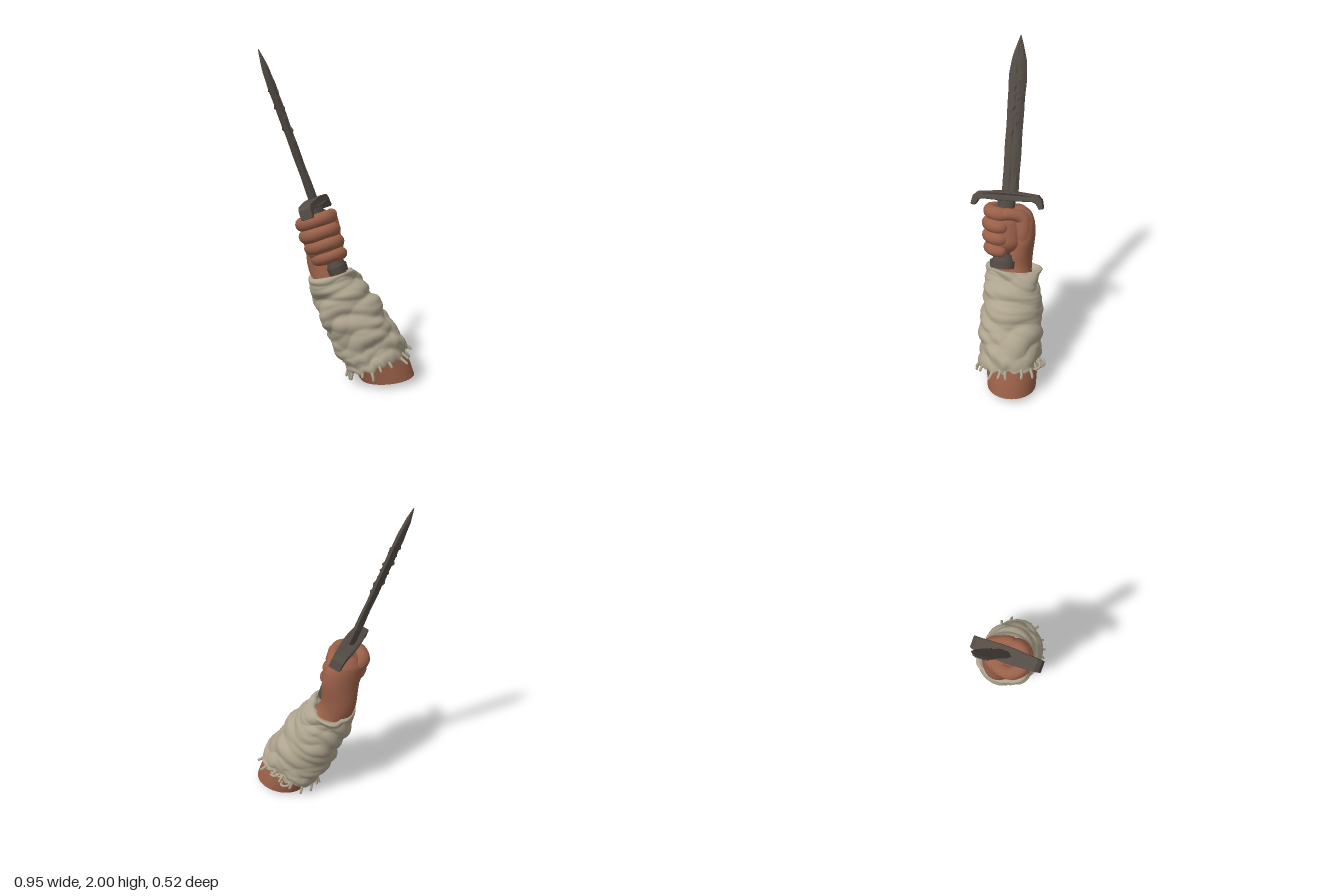
import * as THREE from 'three';
import { toCreasedNormals } from 'three/addons/utils/BufferGeometryUtils.js';

const V = (x, y, z) => new THREE.Vector3(x, y, z);
const curveOf = (pts) => new THREE.CatmullRomCurve3(pts.map((p) => V(...p)));

let seed = 7;
const rand = () => (seed = (seed * 16807) % 2147483647) / 2147483647;

// Closed-ring surface: fn(t, a, j) gives a point; end caps are optional
function loft(rows, cols, fn, capped = true) {
  const pos = [], idx = [];
  for (let i = 0; i <= rows; i++) {
    for (let j = 0; j < cols; j++) pos.push(...fn(i / rows, (j / cols) * Math.PI * 2, j).toArray());
  }
  for (let i = 0; i < rows; i++) {
    for (let j = 0; j < cols; j++) {
      const k = (j + 1) % cols, a = i * cols, b = a + cols;
      idx.push(a + j, a + k, b + k, a + j, b + k, b + j);
    }
  }
  if (capped) {
    for (const [row, flip] of [[0, true], [rows, false]]) {
      const c = V(0, 0, 0), n = pos.length / 3;
      for (let j = 0; j < cols; j++) c.add(fn(row / rows, (j / cols) * Math.PI * 2, j));
      pos.push(...c.divideScalar(cols).toArray());
      for (let j = 0; j < cols; j++) {
        const p = row * cols + j, q = row * cols + ((j + 1) % cols);
        if (flip) idx.push(n, q, p); else idx.push(n, p, q);
      }
    }
  }
  const g = new THREE.BufferGeometry();
  g.setAttribute('position', new THREE.Float32BufferAttribute(pos, 3));
  g.setIndex(idx);
  g.computeVertexNormals();
  return g;
}

// Round-ended tube with a radius that varies along its path
function limb(pts, radii, rows = 28, cols = 14) {
  const path = curveOf(pts), len = path.getLength();
  const rad = curveOf(radii.map((r, i) => [i, r, 0]));
  const { normals, binormals } = path.computeFrenetFrames(rows);
  return loft(rows, cols, (t, a) => {
    const r = rad.getPoint(t).y;
    const end = Math.min(1, (Math.min(t, 1 - t) * len) / r);
    const rr = r * Math.sqrt(Math.max(0.003, 1 - (1 - end) ** 2));
    const i = Math.round(t * rows);
    return path.getPointAt(t)
      .addScaledVector(normals[i], rr * Math.cos(a))
      .addScaledVector(binormals[i], rr * Math.sin(a));
  });
}

export function createModel() {
  const model = new THREE.Group();
  const mat = (name, color, side = THREE.FrontSide) => {
    const m = new THREE.MeshStandardMaterial({ color, side });
    m.name = name;
    return m;
  };
  const skin = mat('skin', 0x9a6048);
  const cloth = mat('linen', 0xaea48e, THREE.DoubleSide);
  const metal = mat('dark iron', 0x544c45);
  const add = (parent, name, geo, material) => {
    const m = new THREE.Mesh(geo, material);
    m.name = name;
    parent.add(m);
    return m;
  };

  // Forearm running into the palm: ring centres, then tilt and two radii
  const rings = [
    [0.297, 0.02, -0.05, 0.12, 0.167, 0.15], [0.26, 0.1, -0.045, 0.25, 0.17, 0.155],
    [0.2, 0.2, -0.03, 0.45, 0.165, 0.155], [0.05, 0.47, -0.02, 0.5, 0.13, 0.13],
    [-0.065, 0.64, -0.015, 0.4, 0.105, 0.1], [-0.095, 0.74, -0.025, 0.32, 0.11, 0.092],
    [-0.105, 0.84, -0.032, 0.28, 0.115, 0.088], [-0.12, 0.94, -0.025, 0.28, 0.118, 0.085],
    [-0.135, 1.0, -0.015, 0.28, 0.105, 0.075], [-0.14, 1.04, -0.005, 0.28, 0.06, 0.045],
  ];
  const centres = curveOf(rings.map((r) => r.slice(0, 3)));
  const sizes = curveOf(rings.map((r) => r.slice(3)));
  const arm = loft(54, 36, (t, a) => {
    const c = centres.getPoint(t), r = sizes.getPoint(t);
    const u = r.y * Math.cos(a), v = r.z * Math.sin(a);
    const yaw = 0.78 * THREE.MathUtils.smoothstep(t, 0.45, 0.75); // the hand turns at the wrist
    return V(c.x + u * Math.cos(r.x) * Math.cos(yaw) - v * Math.sin(yaw), c.y + u * Math.sin(r.x) * Math.cos(yaw),
      c.z - u * Math.sin(yaw) - v * Math.cos(yaw));
  });
  add(model, 'forearmAndPalm', toCreasedNormals(arm, 0.9), skin);

  // Thumb lying across the top of the fist
  add(model, 'thumb', limb(
    [[-0.065, 0.79, -0.05], [-0.06, 0.91, -0.06], [-0.068, 1.0, -0.055], [-0.048, 1.03, 0], [-0.033, 1.035, 0.075]],
    [0.05, 0.056, 0.05, 0.037, 0.04]), skin);

  // Frame of the sword: y runs along the blade, x across the grip
  const grip = new THREE.Group();
  grip.name = 'swordAndFingers';
  grip.position.set(0.01, 0.7, 0.055);
  grip.rotation.z = 0.361;
  model.add(grip);

  // Fingers curled round the handle, smallest first, over a solid fist
  const curl = [[-0.07, -0.08], [-0.098, -0.03], [-0.1, 0.05], [-0.04, 0.1], [0.035, 0.088], [0.068, 0.035], [0.05, -0.03]];
  ['little', 'ring', 'middle', 'index'].forEach((name, i) => {
    const k = [0.86, 0.96, 1, 0.95][i], r = [0.039, 0.042, 0.044, 0.044][i], y = 0.1 + i * 0.075;
    add(grip, name + 'Finger', limb(
      curl.map(([x, z], n) => [x * k, y + 0.012 * Math.sin(n * 0.6), z * k]),
      [0.95, 1, 1, 1.08, 0.94, 1, 0.9].map((f) => f * r), 36), skin);
  });
  add(grip, 'fist', new THREE.CapsuleGeometry(0.1, 0.12, 8, 24).scale(1.14, 0.88, 1.2).translate(-0.026, 0.218, 0), skin);

  // Handle, collar and stepped pommel
  const turned = (name, rt, rb, h, y, sz, sides = 20) =>
    add(grip, name, new THREE.CylinderGeometry(rt, rb, h, sides).scale(1, 1, sz).translate(0, y, 0), metal);
  turned('handle', 0.042, 0.042, 0.42, 0.22, 1.1);
  turned('collar', 0.046, 0.042, 0.05, 0.385, 1.25);
  turned('pommelNeck', 0.046, 0.054, 0.04, 0.055, 1.25);
  turned('pommel', 0.061, 0.057, 0.045, 0.012, 1.35, 12);

  // Crossguard with drooping ends, an outline mirrored and narrowed outwards
  const half = [[0.05, 0.022], [0.15, 0.014], [0.185, 0.01], [0.206, -0.01], [0.216, -0.055], [0.2, -0.058],
    [0.18, -0.026], [0.155, -0.015], [0.05, -0.018]];
  const outline = [...half, ...half.map(([x, y]) => [-x, y]).reverse()];
  const guard = new THREE.ExtrudeGeometry(new THREE.Shape(outline.map((p) => new THREE.Vector2(...p))),
    { depth: 0.09, bevelEnabled: true, bevelSize: 0.006, bevelThickness: 0.007, bevelSegments: 2 });
  guard.translate(0, 0, -0.045).rotateY(-Math.PI / 2);
  const gp = guard.attributes.position;
  for (let i = 0; i < gp.count; i++) gp.setX(i, gp.getX(i) * (1 - 1.3 * Math.abs(gp.getZ(i))));
  guard.computeVertexNormals();
  add(grip, 'crossguard', guard.translate(0, 0.432, -0.007), metal);

  // Worn blade with a central groove: height, half width, half thickness
  const taper = curveOf([[0.42, 0.05, 0.025], [0.62, 0.051, 0.022], [0.8, 0.051, 0.021], [0.98, 0.051, 0.022],
    [1.12, 0.054, 0.022], [1.21, 0.05, 0.021], [1.3, 0.031, 0.016], [1.39, 0.002, 0.003]]);
  const section = [[0, 1], [0.75, 0.62], [0.95, 0.22], [0.75, 0], [0.95, -0.22], [0.75, -0.62],
    [0, -1], [-0.75, -0.62], [-0.95, -0.22], [-0.75, 0], [-0.95, 0.22], [-0.75, 0.62]];
  const blade = loft(60, 12, (t, a, j) => {
    const p = taper.getPoint(t), [x, z] = section[j];
    const wear = 0.001 * Math.sin(t * 33 + j * 2.3) * Math.min(1, (1 - t) * 6);
    const pitted = t > 0.28 && t < 0.62 && Math.abs(z) < 0.5;
    const burr = pitted ? 0.05 * Math.max(0, Math.sin(t * 55 + j * 1.9) - 0.8) : 0;
    return V(x * (p.z + wear + burr), p.x, z * (p.y + wear) - 0.02 - 0.01 * t);
  });
  add(grip, 'blade', toCreasedNormals(blade, 0.6), metal);

  // Wrinkled sleeve: distance up the arm and two radii, turned in at both ends
  const profile = curveOf([[0.05, 0.15, 0.14], [-0.005, 0.187, 0.18], [0.08, 0.195, 0.188], [0.22, 0.185, 0.188],
    [0.38, 0.172, 0.178], [0.5, 0.147, 0.162], [0.57, 0.134, 0.165], [0.575, 0.11, 0.135], [0.5, 0.1, 0.1]]);
  const sleevePoint = (t, a) => {
    const p = profile.getPoint(t);
    const low = Math.max(0, 1 - t * 3), high = Math.min(1, t * 1.2);
    const jag = 0.016 * Math.sin(9 * a) * Math.sin(4 * a + 1) + 0.012 * Math.sin(17 * a);
    const s = p.x + low * (jag - 0.043 - 0.048 * Math.cos(a) + 0.018 * Math.sin(a)) -
      high * high * 0.04 * Math.cos(a - 0.2);
    const w = p.x * 50 + a + 1.7 * Math.sin(2 * a + 1) + 1.5 * Math.sin(3 * a + p.x * 11);
    const w2 = p.x * 34 - 2 * a + 1.5 * Math.sin(a + p.x * 16);
    const w3 = p.x * 80 + 3 * a + 2.2 * Math.sin(2 * a - p.x * 13);
    const fold = 0.017 * Math.abs(Math.sin(w / 2)) + 0.014 * Math.abs(Math.sin(w2 / 2)) +
      0.006 * Math.abs(Math.sin(w3 / 2)) + 0.006 * Math.sin(3 * a + p.x * 25) - 0.018;
    const u = (p.y + fold) * Math.cos(a), v = (p.z + fold) * Math.sin(a);
    return V(0.22 - 0.487 * s + 0.874 * u, 0.16 + 0.874 * s + 0.487 * u, -0.025 + 0.04 * s - v);
  };
  add(model, 'sleeve', loft(120, 100, sleevePoint, false), cloth);

  // Frayed threads hanging from the lower hem
  const threads = new THREE.Group();
  threads.name = 'frayedThreads';
  model.add(threads);
  const down = V(0.4, -0.9, 0);
  for (let i = 0; i < 18; i++) {
    const a = ((i + rand() * 0.7) / 18) * Math.PI * 2;
    const p = sleevePoint(0.13, a), out = V(0.87 * Math.cos(a), 0.45 * Math.cos(a), -Math.sin(a));
    const len = 0.02 + 0.035 * rand(), spread = 0.01 + 0.025 * rand(), side = (rand() - 0.5) * 0.03;
    const at = (d, o, z) => p.clone().addScaledVector(down, d).addScaledVector(out, o).add(V(z, 0, z)).toArray();
    add(threads, 'thread', limb(
      [at(-0.02, -0.012, 0), at(len * 0.4, spread * 0.5, side * 0.2), at(len, spread, side)],
      [0.014, 0.009, 0.008], 10, 7), cloth);
  }
  // Loose loops at the back of the hem
  for (const a of [1.25, 1.75]) {
    const p = sleevePoint(0.16, a);
    const loop = [[-0.03, 0, 0.02], [-0.025, -0.01, -0.025], [0.005, -0.015, -0.035], [0.025, -0.02, -0.02], [0.03, -0.02, 0.02]];
    add(threads, 'threadLoop', limb(loop.map(([x, y, z]) => [p.x + x, p.y + y, p.z + z]),
      [0.008, 0.008, 0.008], 16, 7), cloth);
  }
  return model;
}
